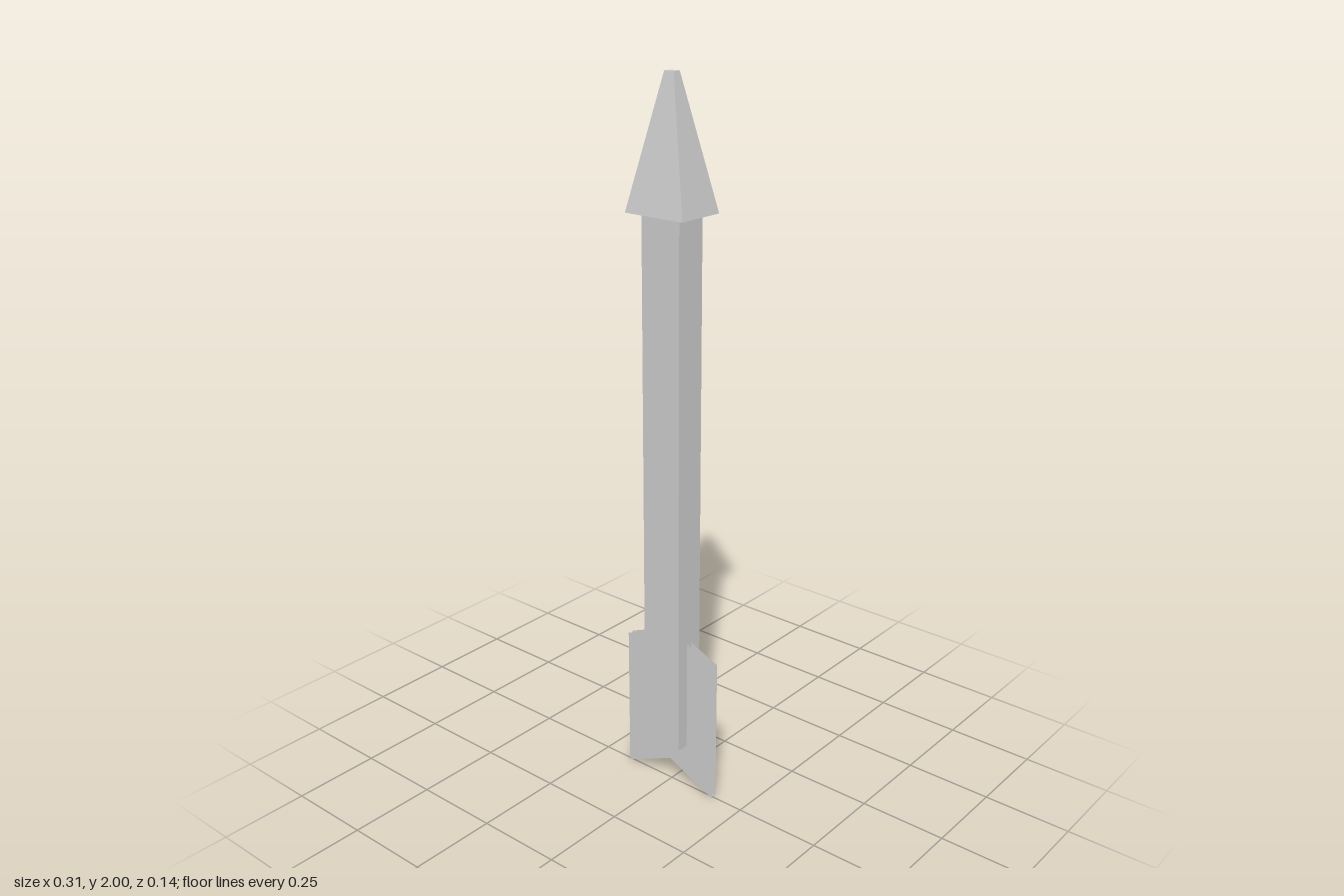
import * as THREE from 'three';

export function createModel() {
  const model = new THREE.Group();
  const grey = new THREE.MeshStandardMaterial({ color: 0xcccccc, flatShading: true });
  const sheet = new THREE.MeshStandardMaterial({ color: 0xcccccc, flatShading: true, side: THREE.DoubleSide });

  const add = (name, geometry, material = grey) => {
    const mesh = new THREE.Mesh(geometry, material);
    mesh.name = name;
    model.add(mesh);
    return mesh;
  };

  // Square-cut shaft
  const bottom = 0.137, neck = 1.655;
  add('shaft', new THREE.BoxGeometry(0.123, neck - bottom, 0.091))
    .position.y = (bottom + neck) / 2;

  // Four-sided head with a blunt tip
  const headHeight = 2 - neck;
  const head = new THREE.CylinderGeometry(Math.SQRT2 * 0.16, Math.SQRT2, headHeight, 4)
    .rotateY(Math.PI / 4)
    .scale(0.093, 1, 0.072)
    .toNonIndexed();
  head.computeVertexNormals();
  add('head', head).position.y = neck + headHeight / 2;

  // Tail fins: two parallel, open-edged chevron sheets through the shaft
  const fin = new THREE.Shape([
    [0, 0.07], [0.155, 0], [0.155, 0.425], [0, 0.49], [-0.155, 0.425], [-0.155, 0],
  ].map(([x, y]) => new THREE.Vector2(x, y)));
  for (const side of [1, -1]) {
    const mesh = add(side > 0 ? 'frontFinSheet' : 'backFinSheet', new THREE.ShapeGeometry(fin), sheet);
    mesh.position.z = side * 0.008;
    if (side < 0) mesh.rotation.y = Math.PI;
  }

  return model;
}
